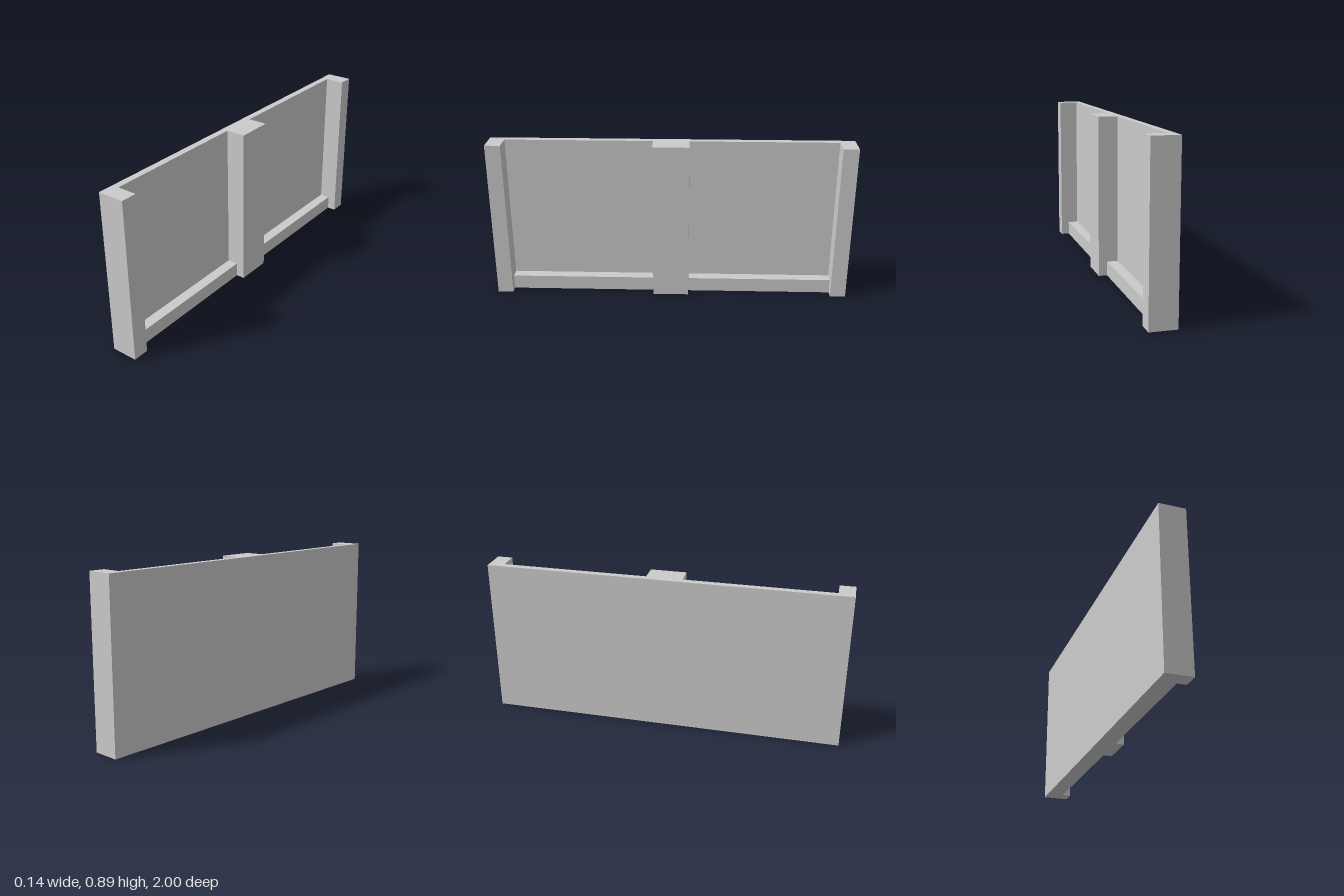
import * as THREE from 'three';

const HEIGHT = 0.89;
const BACK = -0.072;   // rear face of the panel
const FACE = -0.035;   // front face of the panel
const LEDGE = 0.024;   // front face of the bottom rails
const POST = 0.072;    // front face of the posts
const END = 0.086;     // width of the end posts
const MID = 0.1;       // half width of the middle post

export function createModel() {
  const group = new THREE.Group();
  const material = new THREE.MeshStandardMaterial({ color: 0xcccccc, flatShading: true });

  // Box standing on the ground, given by its x and z limits
  function slab(name, x0, x1, z0, z1, height) {
    const geometry = new THREE.BoxGeometry(x1 - x0, height, z1 - z0);
    geometry.translate((x0 + x1) / 2, height / 2, (z0 + z1) / 2);
    const mesh = new THREE.Mesh(geometry, material);
    mesh.name = name;
    group.add(mesh);
  }

  // Thin wall along the full length
  slab('backPanel', BACK, FACE, -1, 1, HEIGHT);

  // Posts at the middle and both ends
  slab('middlePost', FACE, POST, -MID, MID, HEIGHT);
  slab('frontEndPost', FACE, POST, 1 - END, 1, HEIGHT);
  slab('rearEndPost', FACE, POST, -1, -1 + END, HEIGHT);

  // Low rails between the posts
  slab('frontBottomRail', FACE, LEDGE, MID, 1 - END, 0.08);
  slab('rearBottomRail', FACE, LEDGE, -1 + END, -MID, 0.08);

  return group;
}
